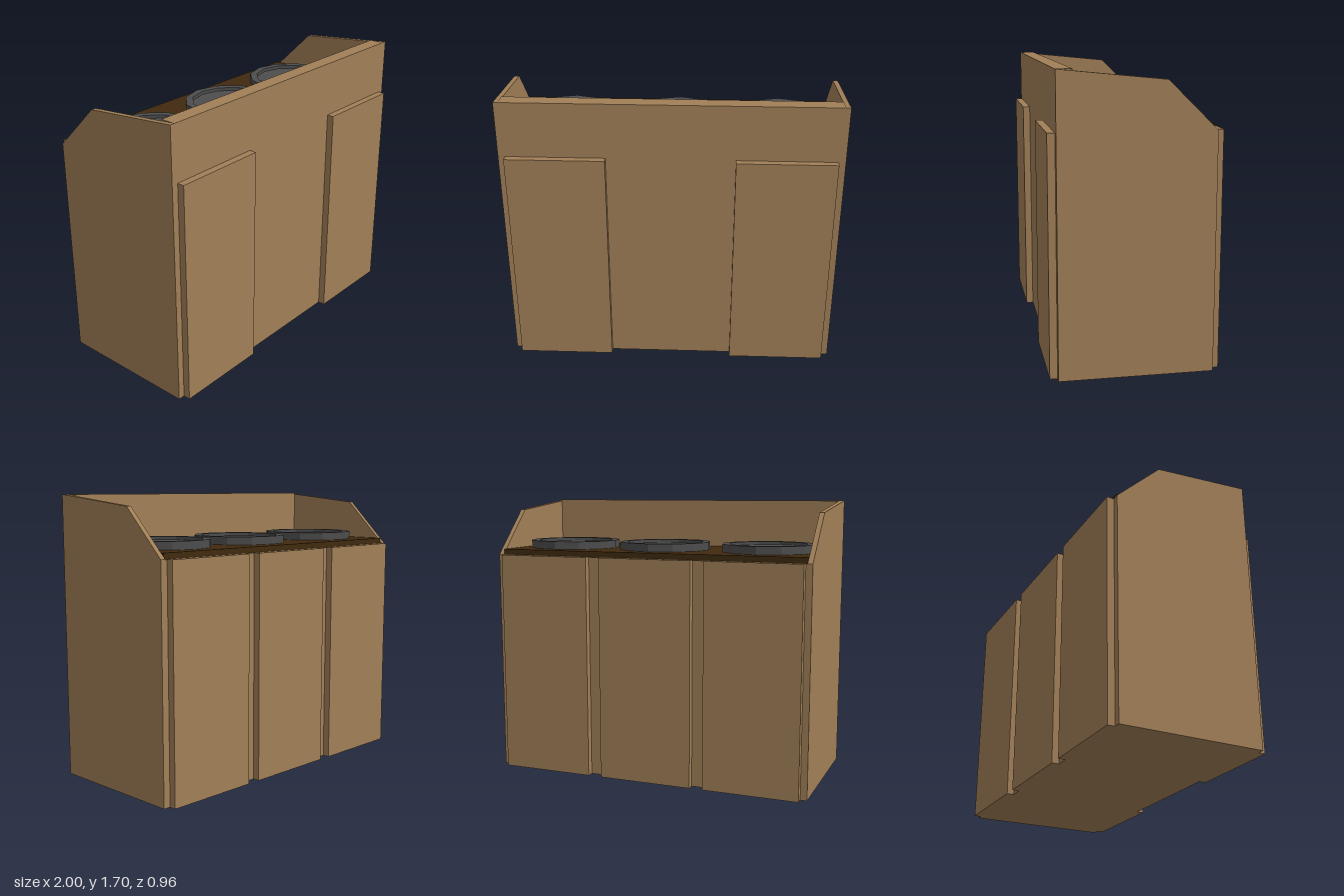
import * as THREE from 'three';

const wood = new THREE.MeshStandardMaterial({ color: 0xa17f57 });
wood.name = 'tan wood';
const darkWood = new THREE.MeshStandardMaterial({ color: 0x402a0f });
darkWood.name = 'dark wood';
const metal = new THREE.MeshStandardMaterial({ color: 0x4d4d4d });
metal.name = 'grey metal';

export function createModel() {
  const group = new THREE.Group();
  const add = (name, geometry, material) => {
    const mesh = new THREE.Mesh(geometry, material);
    mesh.name = name;
    group.add(mesh);
    return mesh;
  };
  // Box given by its minimum and maximum corners
  const box = (name, material, x0, x1, y0, y1, z0, z1) => {
    const mesh = add(name, new THREE.BoxGeometry(x1 - x0, y1 - y0, z1 - z0), material);
    mesh.position.set((x0 + x1) / 2, (y0 + y1) / 2, (z0 + z1) / 2);
  };

  const D = 0.437; // half depth of the cabinet
  const W = 0.97; // inner half width between the side walls

  // Cabinet core and tall front wall
  box('cabinetCore', wood, -W, W, 0, 1.36, -D, 0.345);
  box('frontWall', wood, -W, W, 0, 1.695, 0.345, D);

  // Side walls with sloping tops; shape x maps to -z
  const profile = new THREE.Shape([
    [-D, 0], [D, 0], [D, 1.362], [0.16, 1.635], [-D, 1.695],
  ].map(([x, y]) => new THREE.Vector2(x, y)));
  for (const [name, x] of [['leftSideWall', W], ['rightSideWall', -1]]) {
    const geometry = new THREE.ExtrudeGeometry(profile, { depth: 1 - W, bevelEnabled: false });
    geometry.rotateY(Math.PI / 2);
    add(name, geometry, wood).position.x = x;
  }

  // Raised panels on the front and back
  for (const [x0, x1] of [[-0.96, -0.377], [0.374, 0.957]]) {
    box('frontPanel', wood, x0, x1, 0, 1.362, D, 0.48);
  }
  for (const [x0, x1] of [[-0.96, -0.377], [-0.295, 0.29], [0.374, 0.957]]) {
    box('backPanel', wood, x0, x1, 0, 1.362, -0.48, -D);
  }

  // Counter board
  const top = 1.395;
  box('counterTop', darkWood, -W, W, 1.36, top, -0.425, 0.345);

  // Twelve-sided dishes: outer wall, rim, inner wall and sunken floor
  const dishProfile = [
    [0.285, 0], [0.285, 0.048], [0.24, 0.048], [0.24, 0.028], [0, 0.028],
  ].map(([r, y]) => new THREE.Vector2(r, y));
  for (const x of [-0.645, 0.025, 0.655]) {
    const geometry = new THREE.LatheGeometry(dishProfile, 12).toNonIndexed();
    geometry.computeVertexNormals();
    add('dish', geometry, metal).position.set(x, top, -0.055);
  }

  return group;
}
